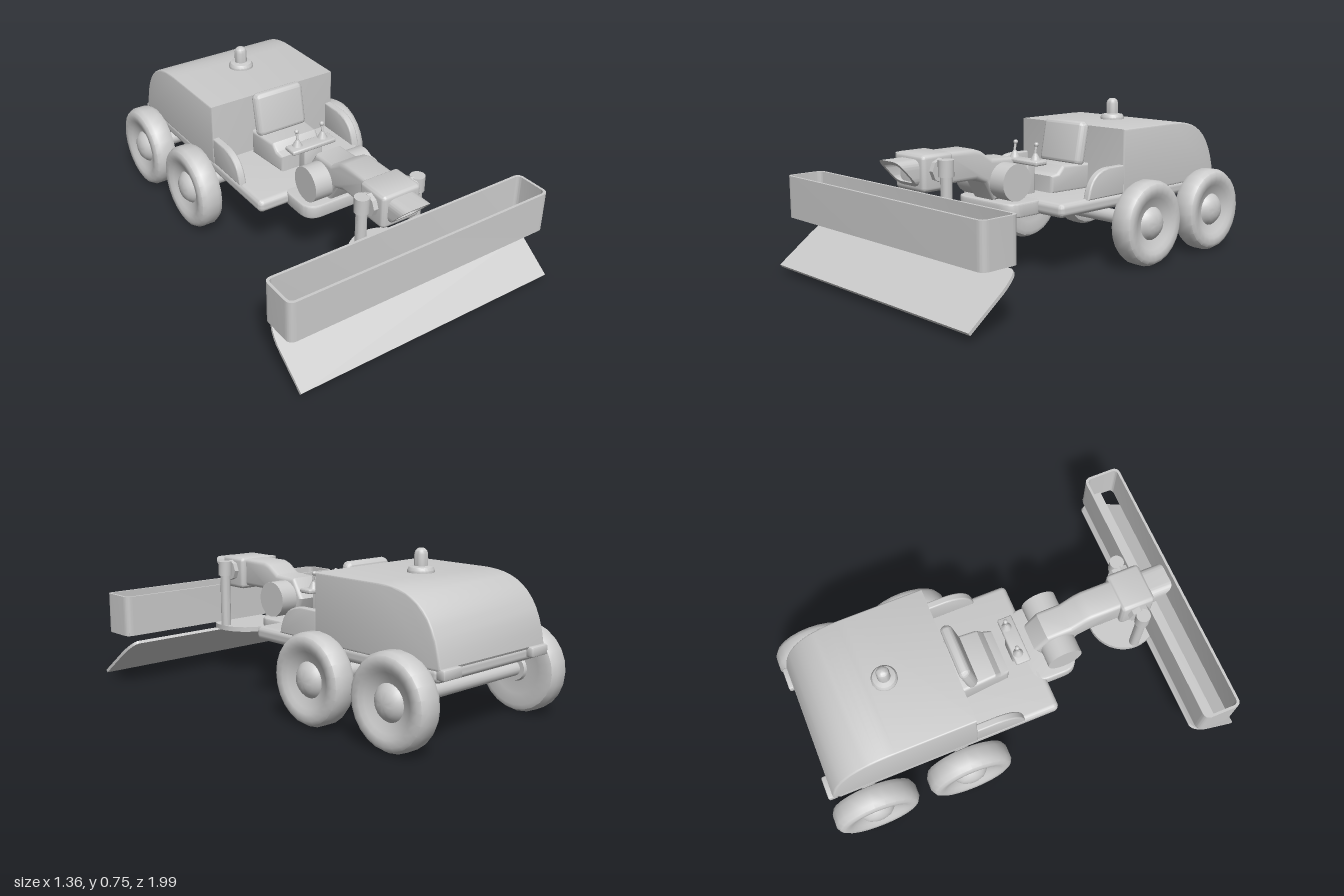
import * as THREE from 'three';
import { toCreasedNormals } from 'three/addons/utils/BufferGeometryUtils.js';
import { RoundedBoxGeometry } from 'three/addons/geometries/RoundedBoxGeometry.js';

const mat = new THREE.MeshStandardMaterial({ color: 0xcccccc, side: THREE.DoubleSide });

export function createModel() {
  const model = new THREE.Group();

  function add(name, geo, x = 0, y = 0, z = 0, parent = model) {
    const mesh = new THREE.Mesh(toCreasedNormals(geo, 0.6), mat);
    mesh.name = name;
    mesh.position.set(x, y, z);
    parent.add(mesh);
    return mesh;
  }
  const rbox = (w, h, d, r = 0.015) => new RoundedBoxGeometry(w, h, d, 3, r);
  const cyl = (r0, r1, h, n = 24) => new THREE.CylinderGeometry(r0, r1, h, n);
  const cylX = (r, h, n = 24) => cyl(r, r, h, n).rotateZ(Math.PI / 2);
  const lathe = (pts, n = 24) => new THREE.LatheGeometry(pts.map(p => new THREE.Vector2(...p)), n);

  // Rounded rectangle centred on the origin
  function roundRect(w, h, r, Type = THREE.Shape) {
    const s = new Type(), a = w / 2, b = h / 2;
    s.moveTo(-a + r, -b);
    s.lineTo(a - r, -b); s.quadraticCurveTo(a, -b, a, -b + r);
    s.lineTo(a, b - r); s.quadraticCurveTo(a, b, a - r, b);
    s.lineTo(-a + r, b); s.quadraticCurveTo(-a, b, -a, b - r);
    s.lineTo(-a, -b + r); s.quadraticCurveTo(-a, -b, -a + r, -b);
    return s;
  }
  function extrude(shape, depth, bevel = 0) {
    return new THREE.ExtrudeGeometry(shape, {
      depth: depth - 2 * bevel, curveSegments: 12, bevelEnabled: bevel > 0,
      bevelSize: bevel, bevelThickness: bevel, bevelOffset: -bevel, bevelSegments: 3,
    }).translate(0, 0, bevel - depth / 2);
  }
  // Side profile drawn in (z, y), extruded across x
  const sideExtrude = (shape, width, bevel) => extrude(shape, width, bevel).rotateY(-Math.PI / 2);
  const poly = pts => new THREE.Shape(pts.map(p => new THREE.Vector2(...p)));

  // Chassis and engine hood
  add('chassis', rbox(0.68, 0.065, 1.12, 0.025), 0, 0.318, -0.385);
  const hood = new THREE.Shape();
  hood.moveTo(-0.24, 0.34);
  hood.lineTo(-0.24, 0.65);
  hood.lineTo(-0.62, 0.65);
  hood.bezierCurveTo(-0.78, 0.65, -0.92, 0.6, -0.955, 0.35);
  hood.lineTo(-0.95, 0.34);
  add('engineHood', sideExtrude(hood, 0.685, 0.008));

  // Warning beacon
  add('beacon', lathe([[0, 0], [0.06, 0], [0.06, 0.012], [0.052, 0.025], [0.03, 0.03], [0.03, 0.08],
    [0.026, 0.095], [0.015, 0.105], [0, 0.108]]), 0, 0.648, -0.545);

  // Driver's seat
  const cushion = sideExtrude(poly([[0.01, 0.345], [0.01, 0.43], [-0.03, 0.44], [-0.06, 0.475],
    [-0.23, 0.47], [-0.23, 0.345]]), 0.27, 0.015);
  const cp = cushion.attributes.position;
  for (let i = 0; i < cp.count; i++) {
    cp.setX(i, cp.getX(i) * (1 - 0.15 * Math.max(0, (cp.getZ(i) + 0.12) / 0.13)));
  }
  add('seatCushion', cushion);
  const back = new RoundedBoxGeometry(0.27, 0.225, 0.07, 8, 0.025);
  const bp = back.attributes.position;
  for (let i = 0; i < bp.count; i++) {
    const x = bp.getX(i), y = bp.getY(i);
    if (y > 0) bp.setY(i, y - x * x * 0.9);
    if (bp.getZ(i) > 0) bp.setZ(i, bp.getZ(i) - x * x * 1.2);
  }
  add('seatBack', back, 0, 0.572, -0.185).rotation.x = -0.19;

  // Control console with two levers
  add('consoleColumn', rbox(0.1, 0.15, 0.05, 0.008), 0, 0.42, 0.08);
  add('consolePanel', rbox(0.24, 0.022, 0.072, 0.008), 0, 0.5, 0.08);

  // Arm base, pivot drum and gooseneck
  add('armBase', extrude(roundRect(0.385, 0.23, 0.08), 0.065, 0.008).rotateX(Math.PI / 2), 0, 0.318, 0.23);
  add('pivotDrum', cylX(0.085, 0.325), 0, 0.44, 0.275);
  add('arm', sideExtrude(poly([[0.6, 0.46], [0.6, 0.598], [0.44, 0.598], [0.4, 0.585], [0.34, 0.545],
    [0.22, 0.54], [0.16, 0.445], [0.2, 0.355], [0.33, 0.355], [0.38, 0.44], [0.435, 0.46]]), 0.15, 0.02));

  // Arm head with an obliquely cut hollow nozzle
  add('armHead', rbox(0.2, 0.16, 0.165, 0.02), 0, 0.525, 0.667);
  const nozzleShape = roundRect(0.15, 0.115, 0.04);
  nozzleShape.holes.push(roundRect(0.118, 0.083, 0.03, THREE.Path));
  const nozzle = extrude(nozzleShape, 1).translate(0, 0, 0.5);
  const np = nozzle.attributes.position;
  for (let i = 0; i < np.count; i++) np.setZ(i, np.getZ(i) * (0.06 + np.getY(i) * 0.93));
  nozzle.computeVertexNormals();
  add('nozzle', nozzle, 0, 0.527, 0.745);

  // Turntable disc
  add('turntable', cyl(0.172, 0.172, 0.024, 40), 0, 0.242, 0.67);

  // Long open trough with a rear floor strip
  const troughShape = roundRect(1.36, 0.185, 0.035);
  troughShape.holes.push(roundRect(1.335, 0.16, 0.026, THREE.Path));
  add('trough', extrude(troughShape, 0.195).rotateX(Math.PI / 2), 0, 0.353, 0.843);
  add('troughFloor', new THREE.BoxGeometry(1.335, 0.012, 0.1), 0, 0.266, 0.805);

  // Sloping blade with rounded upper corners
  const blade = new THREE.Shape();
  blade.moveTo(-0.668, 0);
  blade.lineTo(0.668, 0);
  blade.lineTo(0.668, 0.21);
  blade.quadraticCurveTo(0.66, 0.315, 0.625, 0.315);
  blade.lineTo(-0.625, 0.315);
  blade.quadraticCurveTo(-0.66, 0.315, -0.668, 0.21);
  add('blade', extrude(blade, 0.015), 0, 0.035, 0.993).rotation.x = -0.934;

  // Axles and wheels
  const wheelProfile = [[0, -0.065], [0.055, -0.065], [0.06, -0.05], [0.12, -0.05], [0.17, -0.06],
    [0.192, -0.052], [0.205, -0.028], [0.205, 0.03], [0.192, 0.052], [0.175, 0.06], [0.145, 0.058],
    [0.125, 0.045], [0.08, 0.03], [0.072, 0.04], [0.055, 0.056], [0.03, 0.065], [0, 0.068]];
  for (const [name, z] of [['front', -0.322], ['rear', -0.792]]) {
    add(name + 'Axle', cylX(0.034, 0.76, 16), 0, 0.207, z);
    for (const s of [-1, 1]) {
      const wheel = add(name + (s > 0 ? 'LeftWheel' : 'RightWheel'), lathe(wheelProfile, 24), s * 0.42, 0.207, z);
      wheel.rotation.z = -s * Math.PI / 2;
    }
  }

  // Mirrored details
  for (const s of [-1, 1]) {
    const side = s > 0 ? 'left' : 'right';
    const group = new THREE.Group();
    group.name = side + 'Details';
    model.add(group);

    // Fender beside the seat
    const fender = new THREE.Shape();
    fender.moveTo(0.0, 0.345);
    fender.quadraticCurveTo(-0.02, 0.475, -0.14, 0.482);
    fender.lineTo(-0.245, 0.482);
    fender.lineTo(-0.245, 0.345);
    add(side + 'Fender', sideExtrude(fender, 0.036, 0.008), s * 0.323, 0, 0, group);

    // Lever with a conical boot
    add(side + 'LeverBoot', cyl(0.008, 0.026, 0.035, 16), s * 0.07, 0.525, 0.072, group);
    add(side + 'LeverStick', cyl(0.006, 0.006, 0.05, 8), s * 0.07, 0.56, 0.07, group).rotation.x = -0.2;
    add(side + 'LeverKnob', new THREE.SphereGeometry(0.011, 12, 8), s * 0.07, 0.582, 0.066, group);

    // Suspension post with collar and boss
    add(side + 'Post', cyl(0.025, 0.025, 0.33, 20), s * 0.147, 0.415, 0.667, group);
    add(side + 'PostCollar', cyl(0.034, 0.034, 0.072, 20), s * 0.147, 0.55, 0.667, group);
    add(side + 'PostBoss', cylX(0.052, 0.03, 8), s * 0.108, 0.537, 0.667, group);

    // Rear lamp on the bumper
    add(side + 'RearLamp', rbox(0.11, 0.045, 0.045, 0.008), s * 0.285, 0.328, -0.955, group);
  }
  return model;
}
